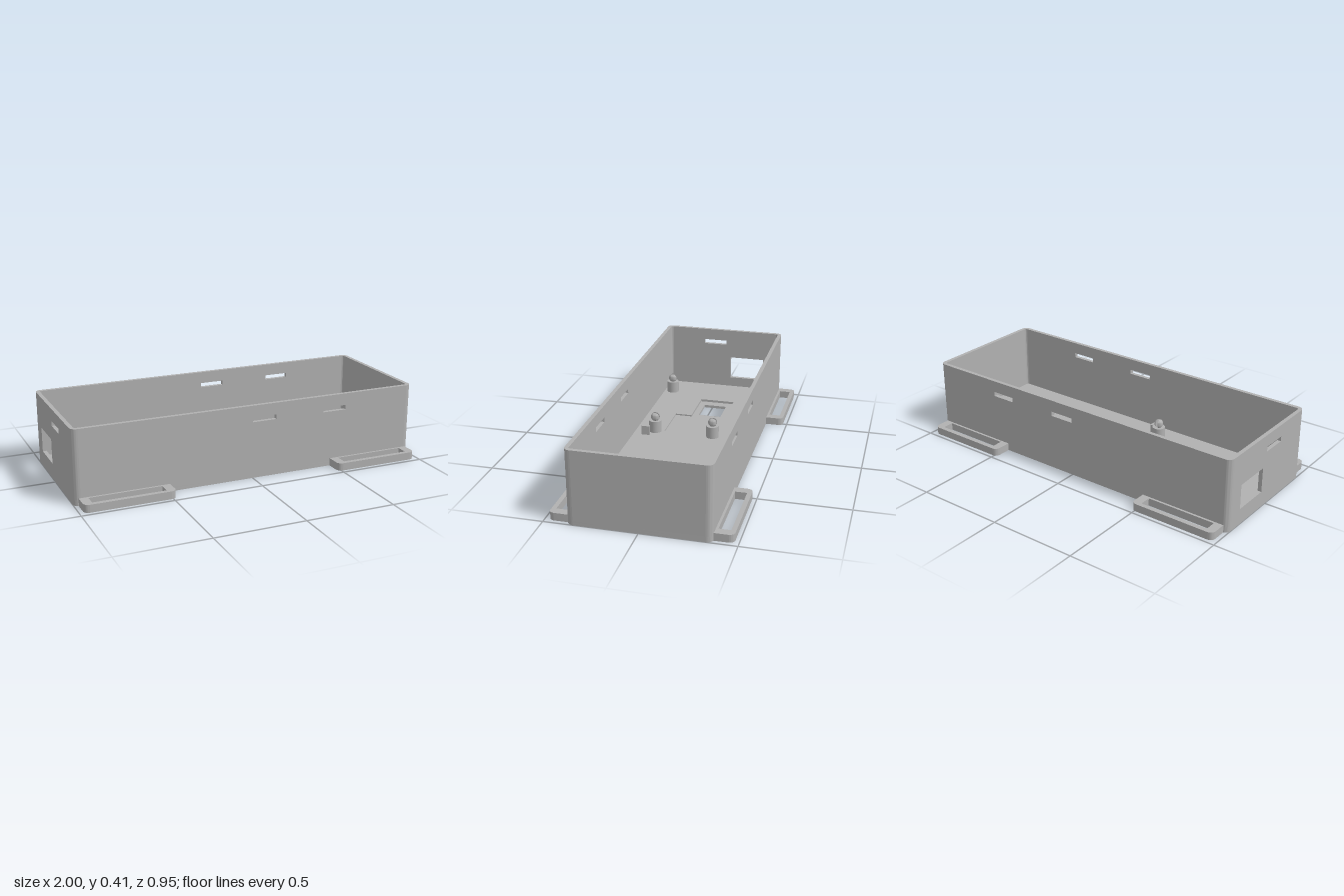
import * as THREE from 'three';
import { toCreasedNormals } from 'three/addons/utils/BufferGeometryUtils.js';

const X = 1, Z = 0.375, H = 0.413;      // half length, half depth, height
const T = 0.022, R = 0.035;             // wall thickness, corner radius
const BASE = 0.016, FLOOR = 0.03;       // pocket bottom and floor top

function rect(path, x0, y0, x1, y1) {
  path.moveTo(x0, y0).lineTo(x1, y0).lineTo(x1, y1).lineTo(x0, y1).closePath();
  return path;
}
const hole = (...a) => rect(new THREE.Path(), ...a);

function roundedRect(x, z, r) {
  const s = new THREE.Shape();
  s.absarc(x - r, z - r, r, 0, Math.PI / 2);
  s.absarc(-x + r, z - r, r, Math.PI / 2, Math.PI);
  s.absarc(-x + r, -z + r, r, Math.PI, Math.PI * 1.5);
  s.absarc(x - r, -z + r, r, Math.PI * 1.5, Math.PI * 2);
  return s;
}

function extrude(shape, depth) {
  return new THREE.ExtrudeGeometry(shape, { depth, bevelEnabled: false, curveSegments: 10 });
}

// Horizontal plate: shape x, y become x, z
function slab(shape, y0, y1) {
  const g = extrude(shape, y1 - y0).rotateX(Math.PI / 2).translate(0, y1, 0);
  return toCreasedNormals(g, 0.5);
}

export function createModel() {
  const group = new THREE.Group();
  const grey = new THREE.MeshStandardMaterial({ color: 0xb0b0b0 });
  grey.name = 'grey plastic';
  const add = (name, geometry, parent = group) => {
    const m = new THREE.Mesh(geometry, grey);
    m.name = name;
    parent.add(m);
    return m;
  };

  // Floor: lower plate with a window, upper plate with two joined pockets
  const lower = roundedRect(X, Z, R);
  lower.holes.push(hole(-0.645, -0.088, -0.48, 0.05));
  add('floorBase', slab(lower, 0, BASE));
  const upper = roundedRect(X, Z, R);
  const pocket = [[-0.7, -0.125], [-0.43, -0.125], [-0.43, -0.012], [-0.155, -0.012],
    [-0.155, 0.184], [-0.43, 0.184], [-0.43, 0.085], [-0.7, 0.085]];
  upper.holes.push(new THREE.Path(pocket.map(p => new THREE.Vector2(...p))));
  add('floorTop', slab(upper, BASE, FLOOR));
  add('pocketStep', slab(rect(new THREE.Shape(), -0.43, -0.012, -0.155, 0.184), BASE, 0.022));

  // Long walls with two vent slots each
  for (const [name, z] of [['frontWall', Z - T], ['backWall', -Z]]) {
    const s = rect(new THREE.Shape(), -X + R, FLOOR, X - R, H);
    s.holes.push(hole(0, 0.32, 0.14, 0.346), hole(0.43, 0.32, 0.57, 0.346));
    add(name, extrude(s, T)).position.z = z;
  }

  // End walls; the one at -x has a port and a slot
  for (const [name, x, open] of [['leftWall', X, false], ['rightWall', -X + T, true]]) {
    const s = rect(new THREE.Shape(), -Z + R, FLOOR, Z - R, H);
    if (open) s.holes.push(hole(-0.26, 0.09, -0.045, 0.23), hole(-0.015, 0.315, 0.13, 0.343));
    add(name, extrude(s, T).rotateY(-Math.PI / 2)).position.x = x;
  }

  // Rounded wall corners
  for (let i = 0; i < 4; i++) {
    const a = i * Math.PI / 2;
    const sx = i === 0 || i === 3 ? 1 : -1, sz = i < 2 ? 1 : -1;
    const s = new THREE.Shape();
    s.absarc(0, 0, R, a, a + Math.PI / 2, false);
    s.absarc(0, 0, R - T, a + Math.PI / 2, a, true);
    add('wallCorner', slab(s, FLOOR, H)).position.set(sx * (X - R), 0, sz * (Z - R));
  }

  // Strap loops on the long sides
  const r = 0.03, x0 = -0.248, x1 = 0.248, zOut = 0.477, zIn = 0.36;
  for (const sx of [-1, 1]) for (const side of [0, 1]) {
    const s = new THREE.Shape();
    s.moveTo(x0, zIn).lineTo(x1, zIn).lineTo(x1, zOut - r);
    s.absarc(x1 - r, zOut - r, r, 0, Math.PI / 2);
    s.absarc(x0 + r, zOut - r, r, Math.PI / 2, Math.PI);
    s.closePath();
    s.holes.push(hole(-0.2, 0.388, 0.2, 0.452));
    const loop = add('strapLoop', slab(s, 0, 0.043));
    loop.rotation.y = side * Math.PI;
    loop.position.x = sx * 0.728;
  }

  // Board posts, each topped by a split snap ball
  for (const [x, z] of [[-0.782, -0.3], [-0.8, 0.3], [-0.152, -0.112], [-0.152, 0.237]]) {
    const post = new THREE.Group();
    post.name = 'boardPost';
    post.position.set(x, FLOOR, z);
    group.add(post);
    add('postBody', new THREE.CylinderGeometry(0.037, 0.037, 0.07, 28).translate(0, 0.035, 0), post);
    for (const side of [0, 1]) {
      const g = new THREE.SphereGeometry(0.026, 24, 16).toNonIndexed();
      const p = g.attributes.position;
      for (let i = 0; i < p.count; i++) p.setX(i, Math.max(p.getX(i), 0.006));
      const half = add('snapHalf', toCreasedNormals(g, 0.6), post);
      half.position.y = 0.091;
      half.rotation.y = side * Math.PI;
    }
  }

  // Small upright board stops
  for (const z of [-0.275, 0.278]) {
    add('boardStop', new THREE.BoxGeometry(0.016, 0.055, 0.048)).position.set(-0.088, FLOOR + 0.0275, z);
  }
  return group;
}
